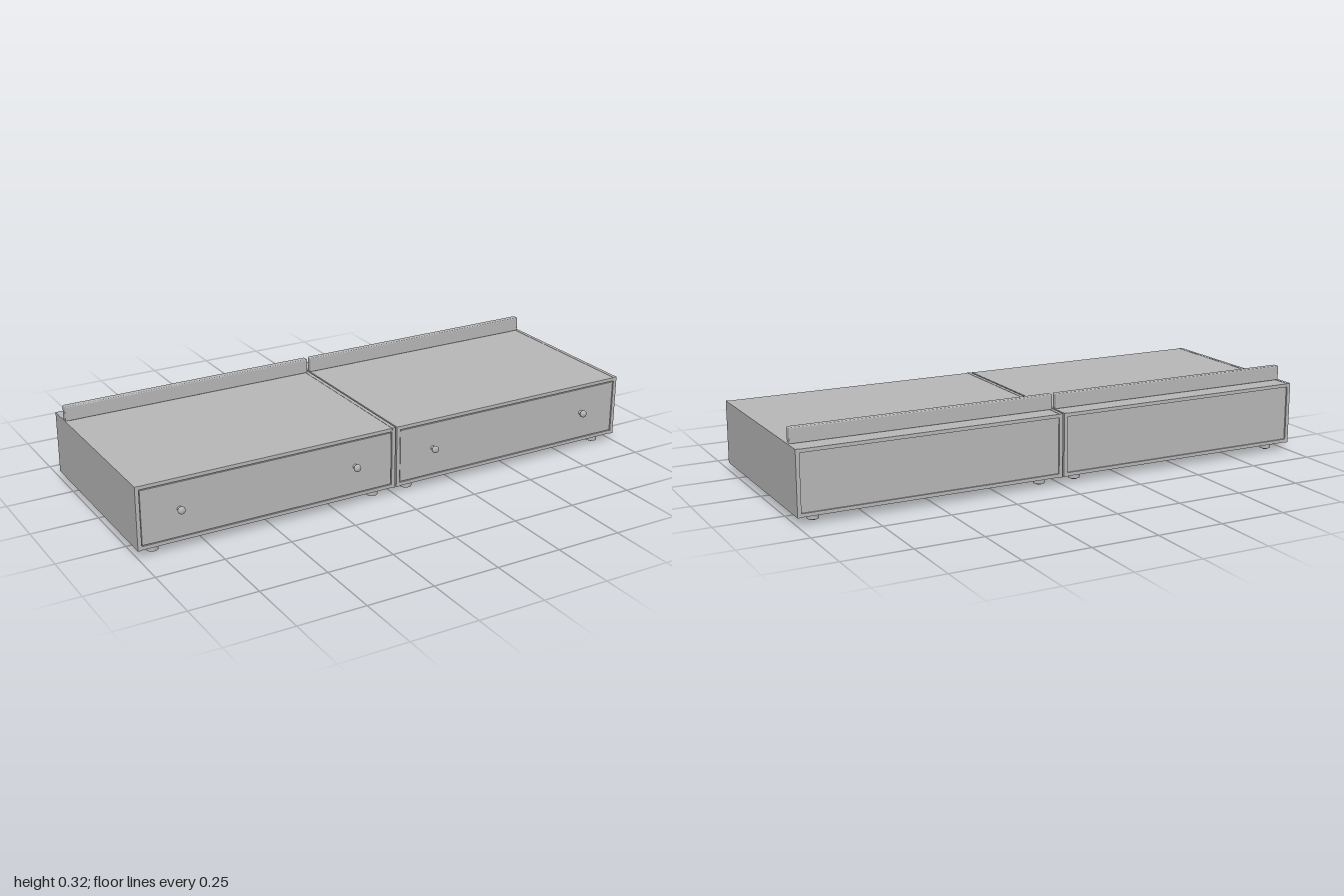
import * as THREE from 'three';
import { RoundedBoxGeometry } from 'three/addons/geometries/RoundedBoxGeometry.js';

export function createModel() {
  const model = new THREE.Group();
  model.name = 'lowDrawerCabinets';
  const grey = new THREE.MeshStandardMaterial({ color: 0xb8b8b8 });
  grey.name = 'grey';

  const add = (parent, name, geometry, x, y, z) => {
    const mesh = new THREE.Mesh(geometry, grey);
    mesh.name = name;
    mesh.position.set(x, y, z);
    parent.add(mesh);
    return mesh;
  };
  // Box given by its limits on each axis
  const slab = (parent, name, x0, x1, y0, y1, z0, z1) =>
    add(parent, name, new THREE.BoxGeometry(x1 - x0, y1 - y0, z1 - z0),
      (x0 + x1) / 2, (y0 + y1) / 2, (z0 + z1) / 2);
  const lathe = (points, segments) =>
    new THREE.LatheGeometry(points.map(([r, h]) => new THREE.Vector2(r, h)), segments);

  // Turned knob with flared base and domed cap
  const knobGeometry = lathe([[0.009, 0], [0.006, 0.004], [0.005, 0.008], [0.008, 0.011],
    [0.0125, 0.013], [0.014, 0.017], [0.0125, 0.022], [0.008, 0.0245], [0, 0.0255]], 20);
  knobGeometry.rotateX(Math.PI / 2);
  // Foot with a small glide underneath
  const footGeometry = new THREE.CylinderGeometry(0.022, 0.021, 0.026, 24);
  const glideGeometry = new THREE.CylinderGeometry(0.012, 0.01, 0.006, 20);

  const half = 0.4985, side = 0.014, inner = half - side;
  const bottom = 0.03, top = 0.265, back = -0.38, front = 0.36;

  for (const s of [-1, 1]) {
    const unit = new THREE.Group();
    unit.name = s < 0 ? 'rightCabinet' : 'leftCabinet';
    unit.position.x = s * 0.5015;
    model.add(unit);

    // Carcass
    slab(unit, 'sidePanel', -half, -inner, bottom, top, back, front);
    slab(unit, 'sidePanel', inner, half, bottom, top, back, front);
    slab(unit, 'topPanel', -inner, inner, top - 0.014, top - 0.001, back, front - 0.001);
    slab(unit, 'bottomPanel', -inner, inner, bottom + 0.001, bottom + 0.014, back, front - 0.001);
    slab(unit, 'backPanel', -inner, inner, bottom + 0.014, top - 0.014, back + 0.006, back + 0.016);

    // Drawer front with a fine shadow gap around it
    slab(unit, 'drawerFront', -inner + 0.003, inner - 0.003, bottom + 0.017, top - 0.018, front - 0.018, front - 0.002);
    slab(unit, 'drawerBacking', -inner, inner, bottom + 0.014, top - 0.014, front - 0.028, front - 0.018);
    for (const x of [-0.343, 0.333]) add(unit, 'knob', knobGeometry, x, 0.15, front - 0.002);

    // Rounded rail along the rear of the top
    add(unit, 'rearRail', new RoundedBoxGeometry(0.988, 0.056, 0.027, 3, 0.004), -0.002, 0.291, -0.2935);

    // Feet
    for (const x of [-0.432, 0.426]) {
      for (const z of [0.318, -0.324]) {
        add(unit, 'foot', footGeometry, x, 0.018, z);
        add(unit, 'footGlide', glideGeometry, x, 0.003, z);
      }
    }
  }
  return model;
}
